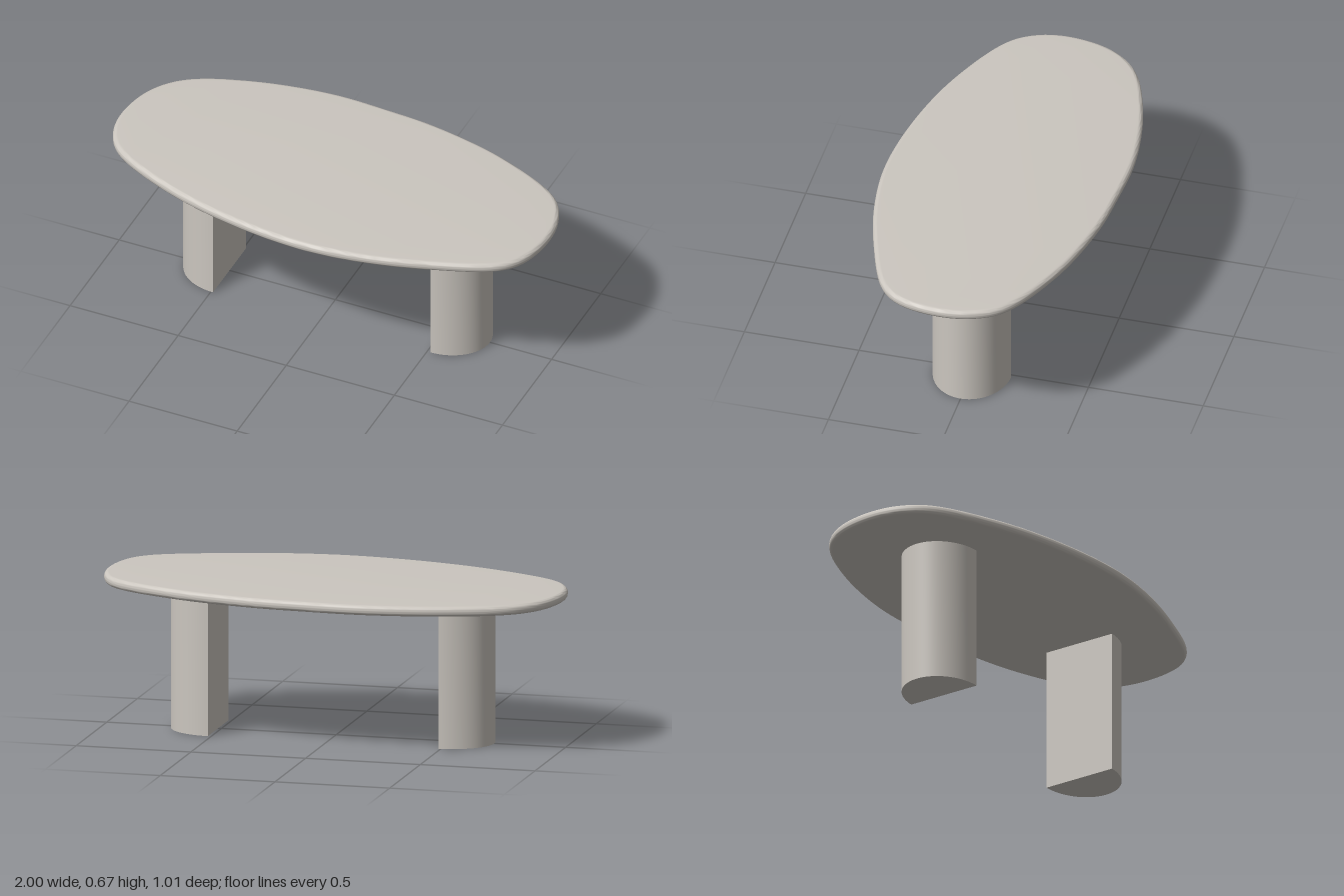
import * as THREE from 'three';
import { mergeVertices, toCreasedNormals } from 'three/addons/utils/BufferGeometryUtils.js';

// Extrudes a plan outline (x, z) downward from height top, with soft shading
function slab(points, top, height, bevel, crease) {
  let geo = new THREE.ExtrudeGeometry(new THREE.Shape(points), {
    depth: height - 2 * bevel, steps: 1,
    bevelEnabled: bevel > 0, bevelThickness: bevel, bevelSize: bevel,
    bevelOffset: -bevel, bevelSegments: 6,
  });
  geo.rotateX(Math.PI / 2).translate(0, top - bevel, 0);
  geo.deleteAttribute('uv');
  geo.deleteAttribute('normal');
  geo = mergeVertices(geo, 1e-5);
  return toCreasedNormals(geo, crease);
}

export function createModel() {
  const group = new THREE.Group();
  const stone = new THREE.MeshStandardMaterial({ color: 0xcbc6bf });
  stone.name = 'warmGrey';

  // Pebble-shaped top, traced clockwise from the right end
  const outline = [
    [1, 0.02], [0.965, 0.2], [0.885, 0.295], [0.6, 0.41], [0.32, 0.48], [0.05, 0.503],
    [-0.3, 0.462], [-0.62, 0.37], [-0.9, 0.225], [-0.975, 0.12], [-1, -0.01], [-0.97, -0.18],
    [-0.9, -0.295], [-0.8, -0.37], [-0.6, -0.444], [-0.4, -0.488], [-0.2, -0.508],
    [0.02, -0.5], [0.25, -0.48], [0.6, -0.395], [0.9, -0.245], [0.975, -0.13],
  ].map(([x, z]) => new THREE.Vector3(x, z, 0));
  const curve = new THREE.CatmullRomCurve3(outline, true, 'centripetal');
  const rim = curve.getSpacedPoints(160).slice(0, -1).map(p => new THREE.Vector2(p.x, p.y));
  const top = new THREE.Mesh(slab(rim, 0.67, 0.043, 0.019, 0.7), stone);
  top.name = 'tableTop';
  group.add(top);

  // Half-oval legs, flat faces toward each other
  for (const [name, flatX, side] of [['leftLeg', 0.515, 1], ['rightLeg', -0.49, -1]]) {
    const section = [];
    for (let i = 0; i <= 40; i++) {
      const a = -Math.PI / 2 + (i / 40) * Math.PI;
      section.push(new THREE.Vector2(flatX + side * 0.2 * Math.cos(a), 0.167 * Math.sin(a)));
    }
    const leg = new THREE.Mesh(slab(section, 0.63, 0.63, 0, 0.6), stone);
    leg.name = name;
    group.add(leg);
  }
  return group;
}
